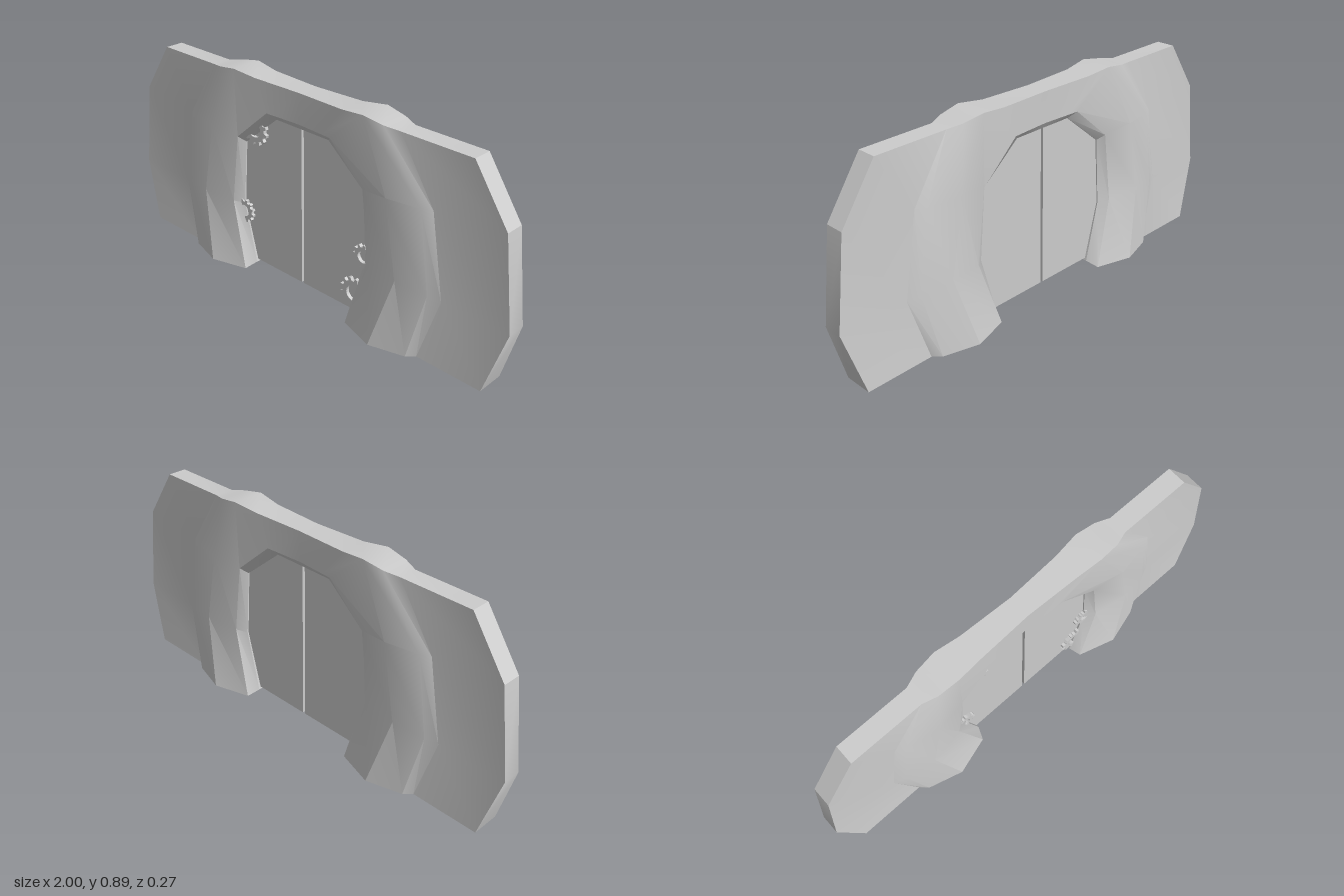
import * as THREE from 'three';
import { toCreasedNormals } from 'three/addons/utils/BufferGeometryUtils.js';

const grey = new THREE.MeshStandardMaterial({ color: 0xcccccc, side: THREE.DoubleSide });

// Cross-sections of one quarter of the arch, from the foot up to the middle of the lintel.
// Each runs: outer rim, wall end, step, ridge, opening edge, inner jamb.
const sections = [
  [[0.92, 0, 0.06], [0.63, 0, 0.06], [0.6, 0, 0.09], [0.45, 0, 0.133], [0.29, 0, 0.085], [0.27, 0.02, 0.035]],
  [[1, 0.27, 0.04], [0.71, 0.27, 0.04], [0.66, 0.28, 0.06], [0.53, 0.3, 0.087], [0.38, 0.29, 0.06], [0.34, 0.28, 0.03]],
  [[0.95, 0.65, 0.04], [0.65, 0.62, 0.04], [0.61, 0.62, 0.06], [0.47, 0.62, 0.085], [0.34, 0.6, 0.06], [0.32, 0.575, 0.03]],
  [[0.8, 0.87, 0.04], [0.49, 0.87, 0.04], [0.43, 0.88, 0.06], [0.34, 0.895, 0.068], [0.17, 0.75, 0.055], [0.14, 0.725, 0.03]],
  [null, null, null, [0.23, 0.882, 0.057], [0.12, 0.75, 0.052], [0.1, 0.725, 0.03]],
  [null, null, null, [0, 0.88, 0.047], [0, 0.75, 0.045], [0, 0.725, 0.03]],
];

function buildArch() {
  const pos = [];
  // Adds a quad, mirrored by the given signs with its winding kept outward.
  const quad = (pts, sx, sz) => {
    const q = pts.map(([x, y, z]) => [x * sx, y, z * sz]);
    if (sx * sz < 0) q.reverse();
    for (const i of [0, 1, 2, 0, 2, 3]) pos.push(...q[i]);
  };
  const back = ([x, y, z]) => [x, y, -z];
  const rim = [...sections.slice(0, 3).map(s => s[0]), ...sections[3].slice(0, 4), sections[4][3], sections[5][3]];
  const jamb = sections.map(s => s[5]);
  for (const sx of [1, -1]) {
    // front and back skins
    for (const sz of [1, -1]) {
      for (let k = 0; k < sections.length - 1; k++) {
        for (let j = k < 3 ? 0 : 3; j < 5; j++) {
          quad([sections[k][j], sections[k + 1][j], sections[k + 1][j + 1], sections[k][j + 1]], sx, sz);
        }
      }
    }
    // outer rim and inside of the opening
    for (let i = 0; i < rim.length - 1; i++) {
      quad([rim[i], back(rim[i]), back(rim[i + 1]), rim[i + 1]], sx, 1);
    }
    for (let i = 0; i < jamb.length - 1; i++) {
      quad([jamb[i], jamb[i + 1], back(jamb[i + 1]), back(jamb[i])], sx, 1);
    }
  }
  const geo = new THREE.BufferGeometry();
  geo.setAttribute('position', new THREE.Float32BufferAttribute(pos, 3));
  return toCreasedNormals(geo, 0.45);
}

// Toothed ring
function gearGeometry(radius, teeth) {
  const shape = new THREE.Shape();
  const steps = [[0, 0.8], [0.3, 0.8], [0.42, 1], [0.75, 1], [0.88, 0.8]];
  for (let t = 0; t < teeth; t++) {
    for (const [f, r] of steps) {
      const a = (t + f) / teeth * Math.PI * 2;
      const x = Math.cos(a) * r * radius, y = Math.sin(a) * r * radius;
      if (t === 0 && f === 0) shape.moveTo(x, y); else shape.lineTo(x, y);
    }
  }
  shape.closePath();
  const hole = new THREE.Path();
  hole.absarc(0, 0, radius * 0.5, 0, Math.PI * 2, true);
  shape.holes.push(hole);
  return new THREE.ExtrudeGeometry(shape, { depth: 0.016, bevelEnabled: false, curveSegments: 10 });
}

export function createModel() {
  const group = new THREE.Group();
  const add = (name, geo, x = 0, y = 0, z = 0) => {
    const mesh = new THREE.Mesh(geo, grey);
    mesh.name = name;
    mesh.position.set(x, y, z);
    group.add(mesh);
  };

  add('archWall', buildArch());

  // Sliding door leaves, which run on into the hollow wall
  for (const s of [1, -1]) {
    add(s > 0 ? 'leftDoor' : 'rightDoor', new THREE.BoxGeometry(0.55, 0.74, 0.05), s * 0.281, 0.4, 0);
  }

  // Gears half hidden behind the jambs
  const gears = [[-0.26, 0.65, 0.07, 12], [-0.335, 0.25, 0.053, 12], [0.335, 0.3, 0.052, 11], [0.29, 0.115, 0.07, 12]];
  for (const [x, y, r, n] of gears) add('gear', gearGeometry(r, n), x, y, 0.024);

  return group;
}
